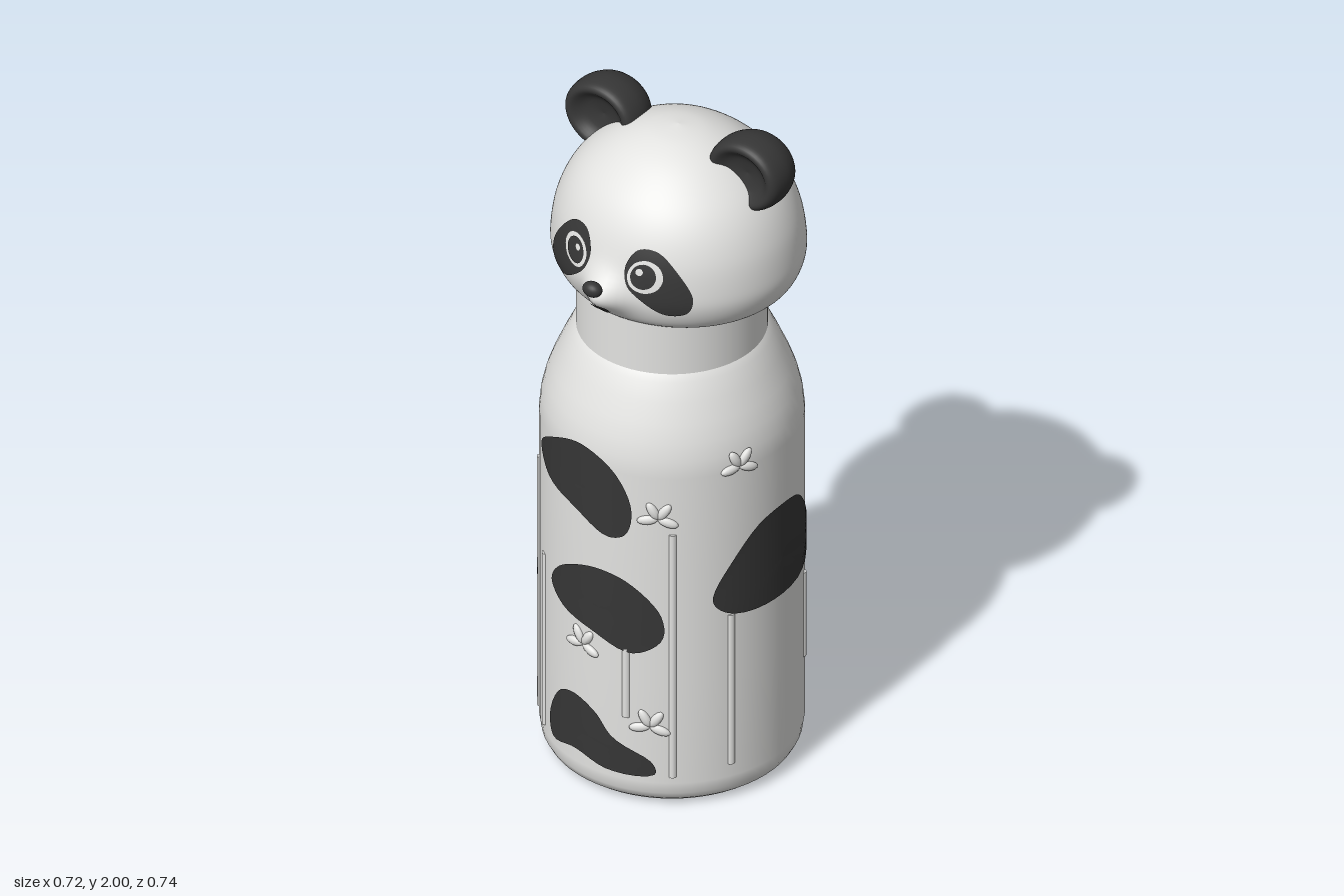
import * as THREE from 'three';

const white = new THREE.MeshStandardMaterial({ color: 0xe3e3e1 });
white.name = 'white';
const black = new THREE.MeshStandardMaterial({ color: 0x363636 });
black.name = 'black';

const BODY_R = 0.355, BODY_Z = -0.01;
const HEAD_Z = -0.04, HEAD_DEPTH = 0.935;
const v2 = (pts) => pts.map(([x, y]) => new THREE.Vector2(x, y));

function add(parent, name, geometry, material) {
  const mesh = new THREE.Mesh(geometry, material);
  mesh.name = name;
  parent.add(mesh);
  return mesh;
}

// Head silhouette, sampled smoothly
const headProfile = new THREE.SplineCurve(v2([
  [0.24, 1.482], [0.29, 1.483], [0.325, 1.51], [0.347, 1.56], [0.35, 1.615], [0.336, 1.7],
  [0.302, 1.78], [0.25, 1.845], [0.17, 1.905], [0.085, 1.94], [0, 1.952],
])).getPoints(60);

// Snout bulge added to the front of the head
const snout = (x, y) => 0.056 * Math.exp(-((x / 0.062) ** 2) - ((y - 1.59) / 0.055) ** 2);

function headFront(x, y) {
  let i = headProfile.findIndex((p) => p.y >= y);
  i = Math.max(1, i);
  const a = headProfile[i - 1], b = headProfile[i];
  const r = a.x + (b.x - a.x) * (y - a.y) / (b.y - a.y);
  return HEAD_Z + HEAD_DEPTH * Math.sqrt(Math.max(0, r * r - x * x)) + snout(x, y);
}
const bodyFront = (x) => Math.sqrt(Math.max(0, BODY_R * BODY_R - x * x));

// Thin painted patch: smooth closed outline laid over a surface z = depth(x, y)
function patch(outline, depth, lift) {
  const curve = new THREE.CatmullRomCurve3(outline.map(([x, y]) => new THREE.Vector3(x, y, 0)), true);
  const edge = curve.getPoints(48).slice(0, 48);
  if (THREE.ShapeUtils.area(edge) < 0) edge.reverse();
  const n = edge.length, rings = 8;
  const c = edge.reduce((s, p) => s.add(p), new THREE.Vector3()).divideScalar(n);
  const pos = [], index = [];
  for (let k = 0; k <= rings; k++) {
    for (const p of edge) {
      const q = c.clone().lerp(p, k / rings);
      pos.push(q.x, q.y, depth(q.x, q.y) + lift);
    }
  }
  for (let k = 0; k < rings; k++) {
    for (let i = 0; i < n; i++) {
      const j = (i + 1) % n, a = k * n + i, b = k * n + j;
      if (k > 0) index.push(a, b + n, b);
      index.push(a, a + n, b + n);
    }
  }
  const g = new THREE.BufferGeometry();
  g.setAttribute('position', new THREE.Float32BufferAttribute(pos, 3));
  g.setIndex(index);
  g.computeVertexNormals();
  return g;
}

function oval(x, y, rx, ry) {
  return Array.from({ length: 8 }, (_, i) => {
    const t = i * Math.PI / 4;
    return [x + rx * Math.cos(t), y + ry * Math.sin(t)];
  });
}

function buildBody(root) {
  const body = new THREE.Group();
  body.name = 'body';
  body.position.z = BODY_Z;
  root.add(body);

  // Bottle with rounded foot and shoulder
  add(body, 'bottle', new THREE.LatheGeometry(v2([
    [0.295, 0], [0.318, 0.006], [0.338, 0.022], [0.35, 0.045], [BODY_R, 0.08], [BODY_R, 0.4], [BODY_R, 0.75],
    [BODY_R, 1.06], [0.35, 1.11], [0.338, 1.16], [0.32, 1.21], [0.296, 1.265], [0.272, 1.315], [0.255, 1.335],
  ]), 64), white);
  const base = add(body, 'base', new THREE.CircleGeometry(0.297, 64), black);
  base.rotation.x = Math.PI / 2;
  base.position.y = 0.001;
  const neck = add(body, 'neck', new THREE.CylinderGeometry(0.257, 0.257, 0.16, 64, 1, true), white);
  neck.position.y = 1.41;

  // Dark spots: [turn around the bottle, outline]
  const side = Math.PI / 2;
  const spots = [
    [0, [[-0.23, 1.0], [-0.15, 1.075], [-0.04, 1.115], [0.06, 1.07], [0.115, 0.96], [0.1, 0.87], [0.05, 0.85],
      [-0.06, 0.9], [-0.19, 0.94]]],
    [0, [[-0.163, 0.61], [-0.12, 0.68], [0, 0.735], [0.1, 0.72], [0.185, 0.63], [0.19, 0.54], [0.12, 0.492],
      [0, 0.53], [-0.12, 0.565]]],
    [0, [[-0.172, 0.17], [-0.12, 0.28], [-0.06, 0.3], [0.01, 0.27], [0.06, 0.21], [0.165, 0.15], [0.175, 0.11],
      [0.05, 0.1], [-0.06, 0.125], [-0.155, 0.11]]],
    [side, [[-0.21, 0.655], [-0.17, 0.76], [-0.07, 0.868], [0.08, 0.868], [0.18, 0.76], [0.235, 0.65],
      [0.2, 0.608], [0, 0.592], [-0.17, 0.608]]],
    [-side, [[-0.13, 0.87], [-0.11, 0.95], [0, 1.05], [0.11, 1.105], [0.17, 1.06], [0.185, 0.96], [0.12, 0.87],
      [0, 0.84]]],
    [-side, [[-0.15, 0.42], [-0.12, 0.49], [0, 0.54], [0.1, 0.59], [0.17, 0.55], [0.205, 0.45], [0.15, 0.36],
      [0.03, 0.325], [-0.1, 0.35]]],
    [-1.0, oval(0, 0.16, 0.045, 0.05)],
    [-0.9, oval(0, 0.55, 0.022, 0.028)],
  ];
  for (const [turn, outline] of spots) {
    add(body, 'spot', patch(outline, bodyFront, 0.005), black).rotation.y = turn;
  }

  // Raised bamboo stalks: [turn, bottom, top]
  const stalks = [[0.64, 0.1, 0.88], [1.1, 0.12, 0.6], [2.1, 0.28, 0.55], [-0.66, 0.1, 0.65], [-0.92, 0.1, 0.9],
    [0.28, 0.28, 0.5]];
  for (const [turn, y0, y1] of stalks) {
    const g = new THREE.CylinderGeometry(0.012, 0.012, y1 - y0, 10);
    g.translate(0, (y0 + y1) / 2, BODY_R - 0.006);
    add(body, 'bambooStalk', g, white).rotation.y = turn;
  }

  // Raised leaf sprigs: [turn, height]
  for (const [turn, y] of [[0.53, 0.93], [1.17, 1.07], [0.47, 0.26], [-0.1, 0.47]]) {
    const sprig = new THREE.Group();
    sprig.name = 'leafSprig';
    sprig.rotation.y = turn;
    body.add(sprig);
    for (const tilt of [-1.9, -0.6, 0.5, 1.7]) {
      const leaf = add(sprig, 'leaf', new THREE.SphereGeometry(1, 10, 8).translate(0, 1, 0), white);
      leaf.scale.set(0.014, 0.029, 0.011);
      leaf.position.set(0, y, BODY_R);
      leaf.rotation.z = tilt;
    }
  }
}

function buildHead(root) {
  const head = new THREE.Group();
  head.name = 'head';
  root.add(head);

  // Domed lid with the snout pulled forward
  const g = new THREE.LatheGeometry(headProfile, 128, Math.PI);
  const p = g.attributes.position;
  for (let i = 0; i < p.count; i++) {
    const x = p.getX(i), y = p.getY(i), z = p.getZ(i);
    p.setZ(i, HEAD_Z + z * HEAD_DEPTH + (z > 0 ? snout(x, y) * Math.min(1, z / 0.1) : 0));
  }
  g.computeVertexNormals();
  add(head, 'skull', g, white);
  const under = add(head, 'headUnderside', new THREE.CircleGeometry(0.25, 48), white);
  under.rotation.x = Math.PI / 2;
  under.position.set(0, 1.483, -0.025);

  // Ears: domed behind, dished in front
  const earShape = new THREE.SplineCurve(v2([[0, 0.03], [0.055, 0.018], [0.09, -0.006], [0.11, 0.004],
    [0.117, 0.035], [0.114, 0.075], [0.095, 0.115], [0.055, 0.143], [0, 0.152]])).getPoints(36);
  earShape[0].x = earShape[36].x = 0;
  for (const s of [1, -1]) {
    const ear = add(head, s > 0 ? 'leftEar' : 'rightEar', new THREE.LatheGeometry(earShape, 40), black);
    ear.rotation.x = -Math.PI / 2;
    ear.position.set(0.238 * s, 1.895, 0.002);
    ear.scale.z = 0.9;

    // Eye patch, eye, pupil and highlight in thin layers
    const mirror = (pts) => pts.map(([x, y]) => [x * s, y]);
    const layers = [
      ['eyePatch', [[0.058, 1.69], [0.085, 1.738], [0.135, 1.74], [0.195, 1.685], [0.232, 1.61], [0.218, 1.565],
        [0.17, 1.556], [0.11, 1.595], [0.068, 1.64]], black],
      ['eyeWhite', oval(0.115, 1.668, 0.047, 0.047), white],
      ['pupil', oval(0.112, 1.67, 0.034, 0.036), black],
      ['eyeHighlight', oval(0.102, 1.684, 0.01, 0.01), white],
    ];
    layers.forEach(([name, pts, mat], i) => add(head, name, patch(mirror(pts), headFront, 0.004 + i * 0.003), mat));
  }

  // Nose and open mouth
  const nose = add(head, 'nose', new THREE.SphereGeometry(1, 24, 16), black);
  nose.scale.set(0.029, 0.022, 0.022);
  nose.position.set(0, 1.628, 0.348);
  add(head, 'mouth', patch([[-0.027, 1.563], [0, 1.577], [0.027, 1.563], [0.024, 1.54], [0, 1.523],
    [-0.024, 1.54]], headFront, 0.005), black);
}

export function createModel() {
  const root = new THREE.Group();
  root.name = 'pandaBottle';
  buildBody(root);
  buildHead(root);
  return root;
}
